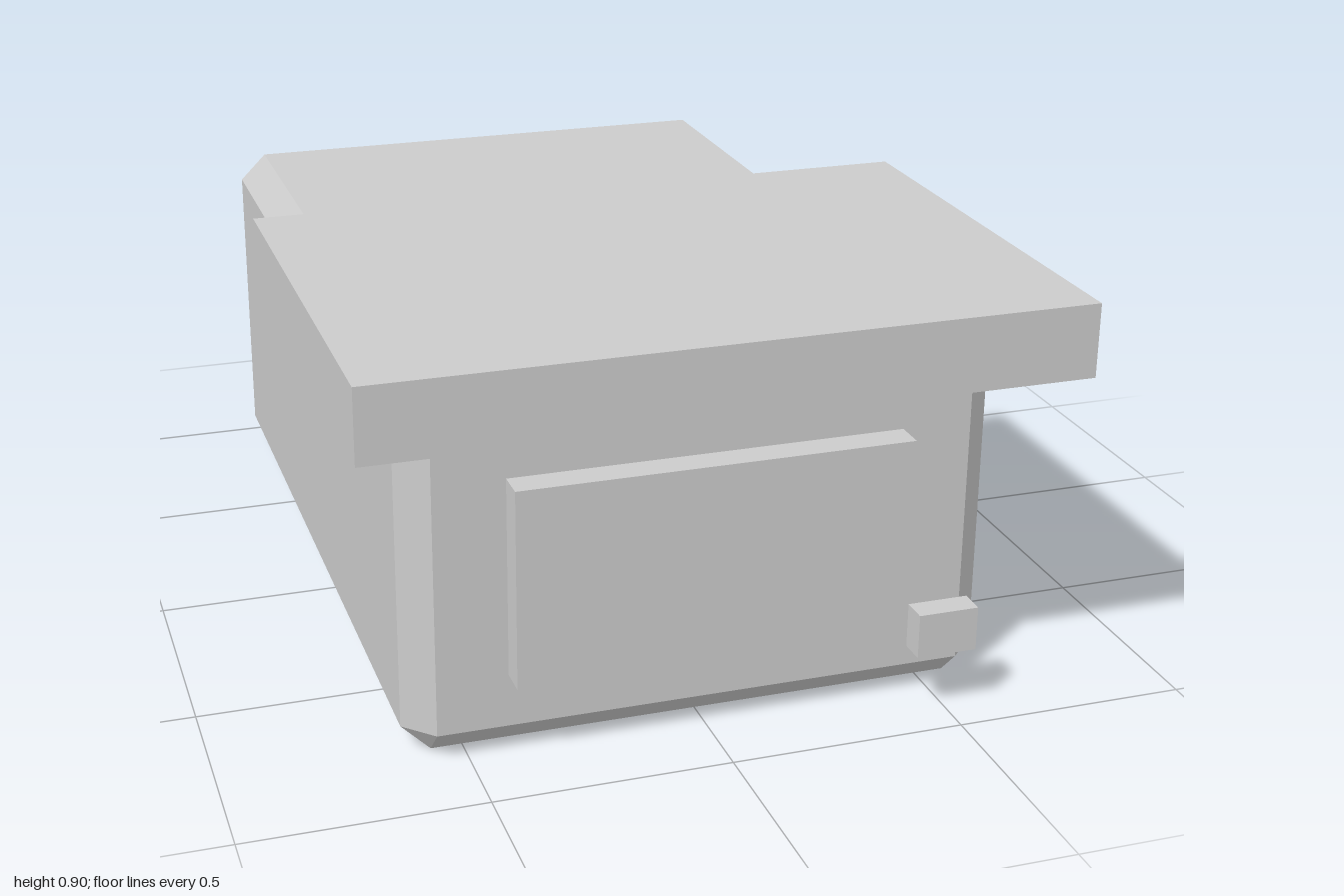
import * as THREE from 'three';
import { ConvexGeometry } from 'three/addons/geometries/ConvexGeometry.js';

// Box with every edge bevelled flat and every corner cut to a triangle
function chamferedBox(w, h, d, c) {
  const points = [];
  for (const sx of [-1, 1]) for (const sy of [-1, 1]) for (const sz of [-1, 1]) {
    const x = w / 2, y = h / 2, z = d / 2;
    points.push(
      new THREE.Vector3(sx * x, sy * (y - c), sz * (z - c)),
      new THREE.Vector3(sx * (x - c), sy * y, sz * (z - c)),
      new THREE.Vector3(sx * (x - c), sy * (y - c), sz * z)
    );
  }
  return new ConvexGeometry(points);
}

export function createModel() {
  const model = new THREE.Group();
  model.name = 'model';
  const grey = new THREE.MeshStandardMaterial({ color: 0xcccccc });
  grey.name = 'light grey';

  const add = (name, geometry, x, y, z) => {
    const mesh = new THREE.Mesh(geometry, grey);
    mesh.name = name;
    mesh.position.set(x, y, z);
    model.add(mesh);
  };

  // Long bevelled housing
  add('body', chamferedBox(1.252, 0.774, 1.828, 0.061), 0, 0.387, -0.086);
  // Slab overhanging the front half
  add('topSlab', new THREE.BoxGeometry(1.486, 0.156, 1.028), 0, 0.818, 0.486);
  // Raised panel, its back sunk slightly into the body
  add('frontPanel', new THREE.BoxGeometry(0.832, 0.427, 0.073), 0, 0.389, 0.856);
  // Small button beside the panel's lower corner
  add('button', new THREE.BoxGeometry(0.13, 0.096, 0.056), 0.484, 0.189, 0.919);

  return model;
}
